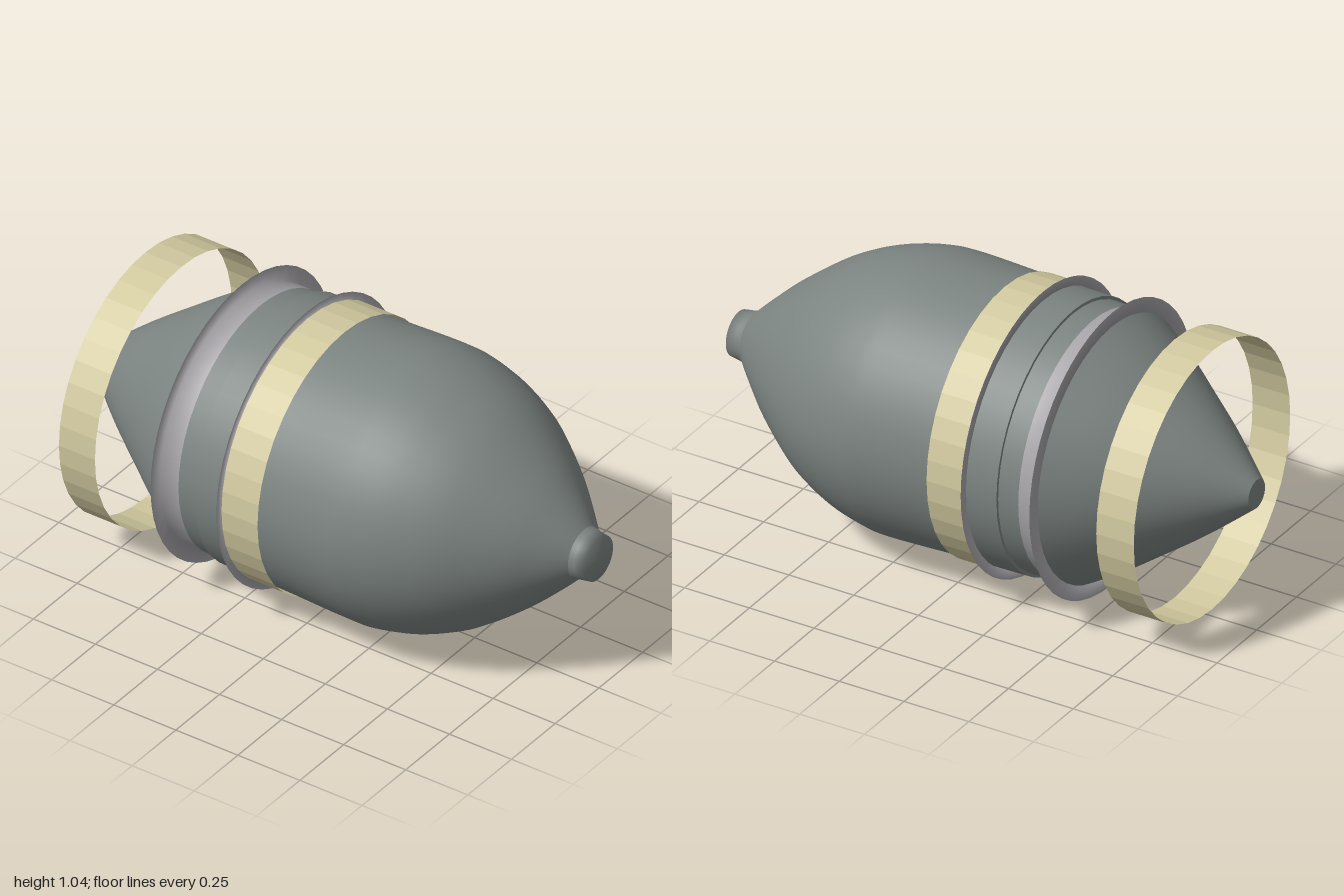
import * as THREE from 'three';

const AXIS_Y = 0.52;
const SEGMENTS = 48;

export function createModel() {
  const model = new THREE.Group();
  model.name = 'capsule';

  const shellGrey = new THREE.MeshStandardMaterial({ color: 0x7c8481 });
  shellGrey.name = 'shell grey';
  const flangeGrey = new THREE.MeshStandardMaterial({ color: 0xa8a6aa, side: THREE.DoubleSide });
  flangeGrey.name = 'flange grey';
  const bandYellow = new THREE.MeshStandardMaterial({ color: 0xd2caa0, side: THREE.DoubleSide, flatShading: true });
  bandYellow.name = 'band yellow';

  // Revolve [x, radius] pairs, listed from tail to nose, around the long axis
  function revolve(name, profile, material) {
    const points = profile.map(([x, r]) => new THREE.Vector2(r, x));
    const geometry = new THREE.LatheGeometry(points, SEGMENTS);
    geometry.rotateZ(-Math.PI / 2);
    const mesh = new THREE.Mesh(geometry, material);
    mesh.name = name;
    mesh.position.y = AXIS_Y;
    model.add(mesh);
  }

  // Smooth a coarse profile with a spline
  function smooth(profile, count) {
    const curve = new THREE.SplineCurve(profile.map(([x, r]) => new THREE.Vector2(x, r)));
    return curve.getPoints(count).map((p) => [p.x, p.y]);
  }

  // Tail cone with a small blunt tip
  revolve('tailTip', [[-1, 0], [-1, 0.053]], shellGrey);
  revolve('tailCone', smooth([[-1, 0.053], [-0.83, 0.195], [-0.68, 0.306], [-0.56, 0.392], [-0.44, 0.467]], 16), shellGrey);

  // Stepped collars between tail and main shell
  revolve('rearCollar', [[-0.365, 0.467], [-0.29, 0.471]], shellGrey);
  revolve('collarStep', [[-0.29, 0.471], [-0.29, 0.482]], shellGrey);
  revolve('frontCollar', [[-0.29, 0.482], [-0.17, 0.484]], shellGrey);

  // Main shell, curving in towards the nose
  revolve('mainShell', smooth([
    [-0.17, 0.484], [0, 0.487], [0.22, 0.494], [0.32, 0.488], [0.45, 0.457],
    [0.6, 0.388], [0.76, 0.268], [0.87, 0.165], [0.94, 0.093],
  ], 36), shellGrey);

  // Short nose stub with a closed end
  revolve('noseStub', [[0.94, 0.093], [0.96, 0.087], [1, 0.081], [1, 0]], shellGrey);

  // Paper-thin flanges, each turning into a sleeve on the body
  revolve('rearFlange', [[-0.44, 0.52], [-0.44, 0.467], [-0.365, 0.467]], flangeGrey);
  revolve('frontFlange', [[-0.175, 0.52], [-0.175, 0.486], [-0.1, 0.488]], flangeGrey);

  // Open faceted bands: one free around the tail, one around the body
  for (const [name, x] of [['rearBand', -0.755], ['bodyBand', -0.1]]) {
    const geometry = new THREE.CylinderGeometry(0.494, 0.494, 0.145, 40, 1, true);
    geometry.rotateZ(-Math.PI / 2);
    const band = new THREE.Mesh(geometry, bandYellow);
    band.name = name;
    band.position.set(x, AXIS_Y, 0);
    model.add(band);
  }

  return model;
}
